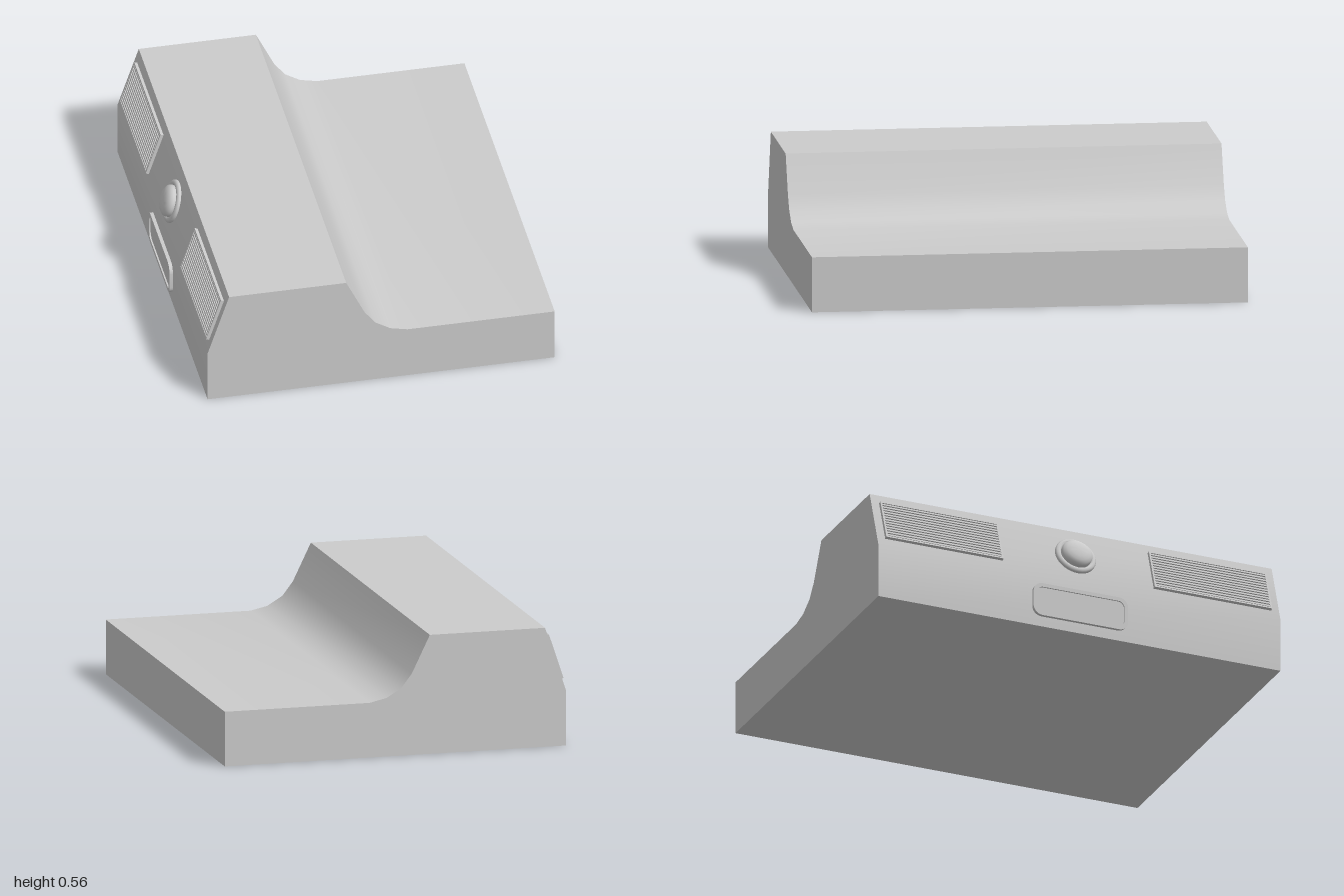
import * as THREE from 'three';
import { toCreasedNormals } from 'three/addons/utils/BufferGeometryUtils.js';

const material = new THREE.MeshStandardMaterial({ color: 0xcccccc });

function addMesh(parent, name, geometry, x = 0, y = 0, z = 0) {
  const mesh = new THREE.Mesh(geometry, material);
  mesh.name = name;
  mesh.position.set(x, y, z);
  parent.add(mesh);
  return mesh;
}

// Rounded rectangle centred on the origin
function roundedRect(target, w, h, r) {
  const x = w / 2 - r, y = h / 2 - r;
  target.absarc(x, y, r, 0, Math.PI / 2);
  target.absarc(-x, y, r, Math.PI / 2, Math.PI);
  target.absarc(-x, -y, r, Math.PI, Math.PI * 1.5);
  target.absarc(x, -y, r, Math.PI * 1.5, Math.PI * 2);
  target.closePath();
  return target;
}

function extrude(shape, depth, crease = 0.62) {
  const geometry = new THREE.ExtrudeGeometry(shape, { depth, bevelEnabled: false, curveSegments: 8 });
  return toCreasedNormals(geometry, crease);
}

// Raised grille: backing plate, frame and horizontal slats
function createVent(side) {
  const vent = new THREE.Group();
  vent.name = side > 0 ? 'frontVent' : 'rearVent';
  vent.position.z = side * 0.668;
  const height = 0.218, width = 0.584, rim = 0.008, depth = 0.015;
  addMesh(vent, 'ventBacking', new THREE.BoxGeometry(height - 0.002, 0.008, width - 0.002), 0, 0.004, 0);
  for (const s of [-1, 1]) {
    addMesh(vent, 'ventFrameRail', new THREE.BoxGeometry(rim, depth, width), s * (height - rim) / 2, depth / 2, 0);
    addMesh(vent, 'ventFrameEnd', new THREE.BoxGeometry(height - 2 * rim, depth, rim), 0, depth / 2, s * (width - rim) / 2);
  }
  const slats = 13, pitch = (height - 2 * rim) / slats;
  for (let i = 0; i < slats; i++) {
    const u = (i - (slats - 1) / 2) * pitch;
    addMesh(vent, 'ventSlat', new THREE.BoxGeometry(pitch * 0.55, 0.013, width - 2 * rim), u, 0.0075, 0);
  }
  return vent;
}

export function createModel() {
  const model = new THREE.Group();
  model.name = 'steppedConsole';

  // Body: side profile with a concave sweep, extruded along z
  const profile = [
    [-0.8, 0], [0.815, 0], [0.815, 0.255], [0.13, 0.255], [0.05, 0.273], [-0.02, 0.315],
    [-0.07, 0.38], [-0.155, 0.555], [-0.7, 0.555], [-0.8, 0.255],
  ].map(([x, y]) => new THREE.Vector2(x, y));
  addMesh(model, 'body', extrude(new THREE.Shape(profile), 2), 0, 0, -1);

  // Fittings on the sloped panel: local y points out of the slope, local x up along it
  const panel = new THREE.Group();
  panel.name = 'slopedPanelFittings';
  panel.position.set(-0.75, 0.405, 0);
  panel.rotation.z = Math.atan2(0.3, 0.1);
  model.add(panel);
  panel.add(createVent(1), createVent(-1));

  // Domed button in a round bezel
  const bezel = [[0.1, 0], [0.1, 0.008], [0.094, 0.015], [0.084, 0.018], [0.078, 0.016], [0.074, 0.01]];
  const dome = [[0.074, 0], [0.074, 0.026], [0.069, 0.036], [0.056, 0.046], [0.038, 0.052], [0.019, 0.055], [0, 0.056]];
  const lathe = points => toCreasedNormals(
    new THREE.LatheGeometry(points.map(([r, h]) => new THREE.Vector2(r, h)), 32), 0.75);
  addMesh(panel, 'buttonBezel', lathe(bezel));
  addMesh(panel, 'buttonDome', lathe(dome));

  // Rounded plate with a raised rim on the lower upright face
  const plate = new THREE.Group();
  plate.name = 'lowerPlate';
  plate.position.set(-0.8, 0.13, 0);
  plate.rotation.y = -Math.PI / 2;
  model.add(plate);
  const rim = roundedRect(new THREE.Shape(), 0.47, 0.16, 0.045);
  rim.holes.push(roundedRect(new THREE.Path(), 0.434, 0.124, 0.03));
  addMesh(plate, 'plateRim', extrude(rim, 0.016));
  addMesh(plate, 'platePanel', extrude(roundedRect(new THREE.Shape(), 0.436, 0.126, 0.031), 0.009));

  return model;
}
